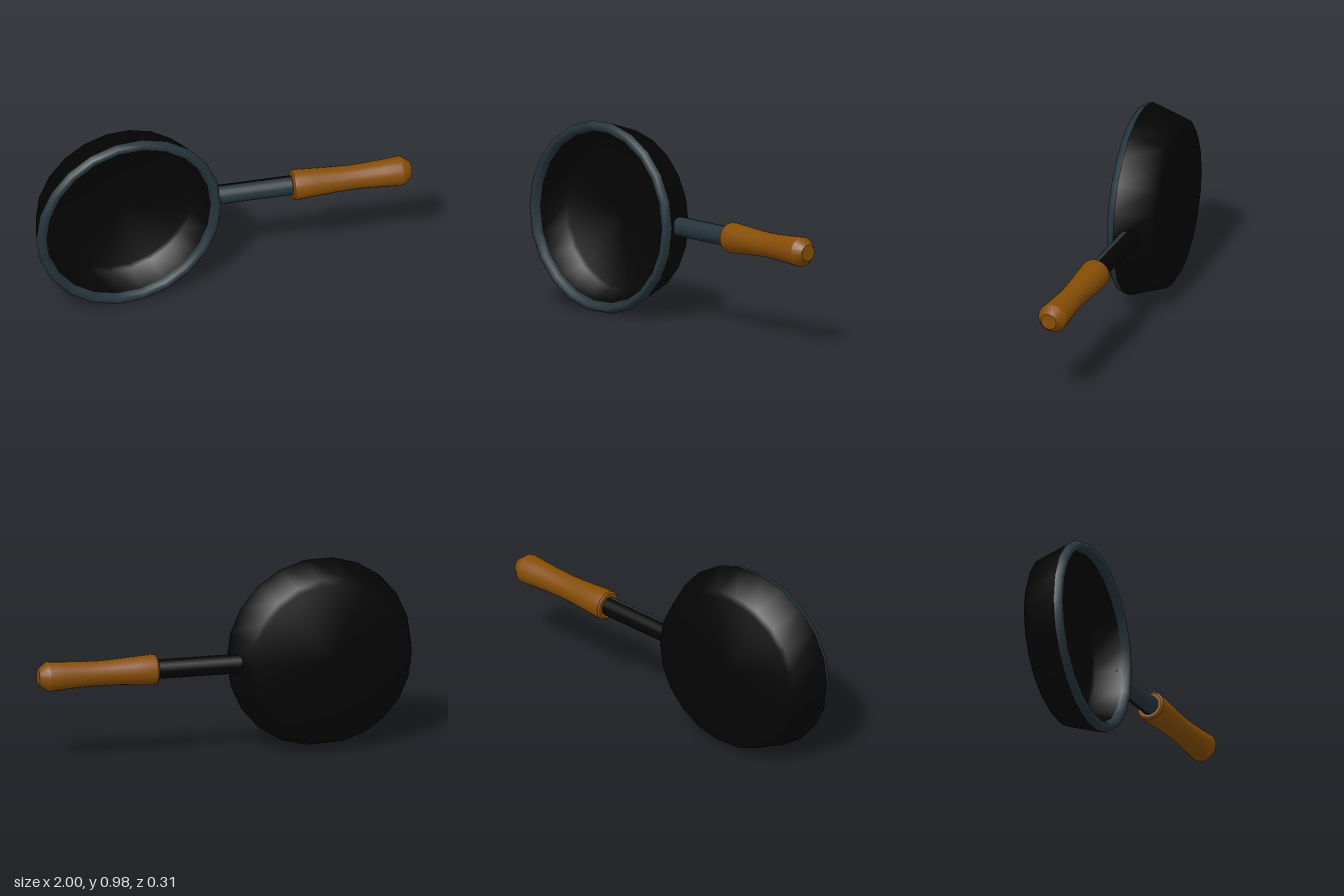
import * as THREE from 'three';
import { toCreasedNormals } from 'three/addons/utils/BufferGeometryUtils.js';

const iron = new THREE.MeshStandardMaterial({ name: 'black iron', color: 0x040404 });
const steel = new THREE.MeshStandardMaterial({ name: 'blue steel', color: 0x25343b });
const wood = new THREE.MeshStandardMaterial({ name: 'brown wood', color: 0x854d05 });

// Turned shape from [radius, position along axis] pairs, axis on y
function turned(points, sides, crease) {
  const profile = points.map(([r, h]) => new THREE.Vector2(r, h));
  return toCreasedNormals(new THREE.LatheGeometry(profile, sides), crease);
}

function add(parent, name, geometry, material) {
  const mesh = new THREE.Mesh(geometry, material);
  mesh.name = name;
  parent.add(mesh);
  return mesh;
}

export function createModel() {
  const model = new THREE.Group();
  model.name = 'fryingPan';

  // Pan: three smooth turned bands sharing their edges, with walls of even thickness, opening towards +z
  const pan = new THREE.Group();
  pan.name = 'pan';
  pan.position.set(-0.505, 0.493, 0);
  const bands = {
    panOutside: [iron, [[0, -0.152], [0.41, -0.152], [0.437, -0.136], [0.496, 0.045]]],
    panRim: [steel, [[0.496, 0.045], [0.487, 0.076], [0.478, 0.083], [0.46, 0.083], [0.45, 0.073], [0.442, 0.045]]],
    panInside: [iron, [[0.442, 0.045], [0.4, -0.086], [0.38, -0.1], [0, -0.1]]],
  };
  for (const [name, [material, points]] of Object.entries(bands)) {
    const geometry = turned(points, 22, 1.3).rotateY(Math.PI / 2).rotateX(Math.PI / 2);
    add(pan, name, geometry, material);
  }
  model.add(pan);

  // Handle: built along x, then tilted forwards
  const handle = new THREE.Group();
  handle.name = 'handle';
  handle.position.set(0, 0.494, -0.024);
  handle.rotation.y = -0.1065;

  // Rod with a black root, then a steel front half and an iron back half
  const rod = (from, to) => new THREE.CylinderGeometry(0.05, 0.05, to - from, 20, 1, true, -Math.PI / 2)
    .rotateZ(-Math.PI / 2).translate((from + to) / 2, 0, 0);
  add(handle, 'rodRoot', rod(-0.07, -0.02), iron);
  const shaft = rod(-0.02, 0.4);
  const half = shaft.index.count / 2;
  shaft.clearGroups();
  shaft.addGroup(0, half, 0);
  shaft.addGroup(half, half, 1);
  add(handle, 'rod', shaft, [steel, iron]);

  // Wooden grip with a narrow waist and bevelled ends
  const grip = [
    [0, 0.38], [0.067, 0.38], [0.077, 0.389], [0.079, 0.405], [0.073, 0.5], [0.067, 0.6],
    [0.064, 0.69], [0.066, 0.77], [0.071, 0.86], [0.077, 0.945], [0.076, 0.957], [0.042, 1.002], [0, 1.002],
  ];
  add(handle, 'grip', turned(grip, 20, 0.6).rotateZ(-Math.PI / 2), wood);
  model.add(handle);

  return model;
}
